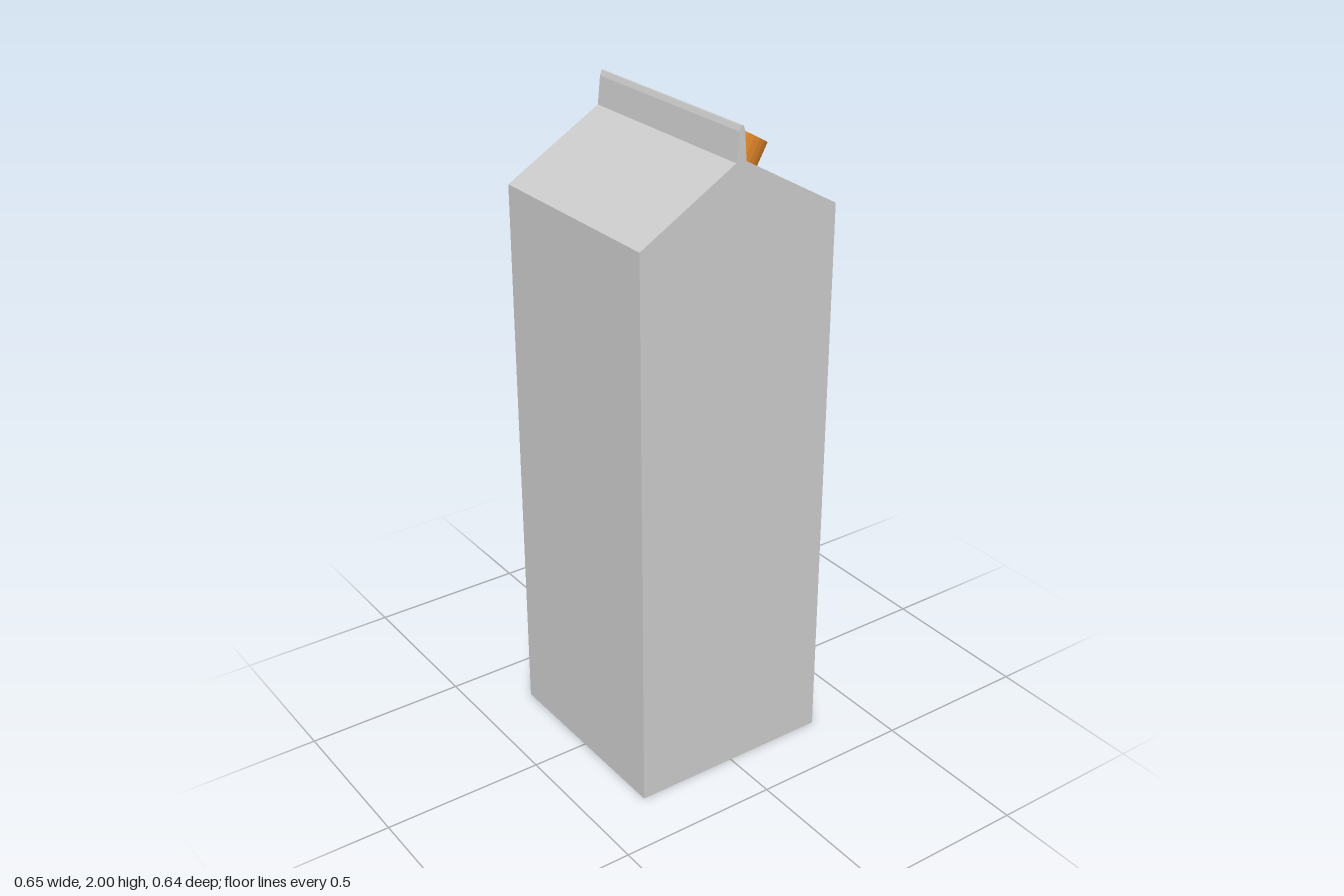
import * as THREE from 'three';

const HALF = 0.322, EAVE = 1.727, RIDGE = 1.903;
const FIN_L = -0.02, FIN_R = 0.013;
const SLOPE = Math.atan2(RIDGE - EAVE, HALF - FIN_R);

const paper = new THREE.MeshStandardMaterial({ color: 0xcccccc, flatShading: true });
const orange = new THREE.MeshStandardMaterial({ color: 0xe68a2c, flatShading: true });

// Extrudes an x-y outline along z, centred on z = 0
function prism(name, points, depth, material) {
  const shape = new THREE.Shape(points.map(([x, y]) => new THREE.Vector2(x, y)));
  const geometry = new THREE.ExtrudeGeometry(shape, { depth, bevelEnabled: false });
  geometry.translate(0, 0, -depth / 2);
  const mesh = new THREE.Mesh(geometry, material);
  mesh.name = name;
  return mesh;
}

export function createModel() {
  const carton = new THREE.Group();
  carton.name = 'carton';

  // Square body with gable roof
  carton.add(prism('body', [
    [-HALF, 0], [HALF, 0], [HALF, EAVE], [FIN_R, RIDGE], [FIN_L, RIDGE], [-HALF, EAVE],
  ], HALF * 2, paper));

  // Folded seal along the ridge, slightly tapered with a narrow top
  carton.add(prism('topSeal', [
    [FIN_L, RIDGE], [FIN_R, RIDGE], [0.007, 1.985], [0.001, 2], [-0.005, 2], [-0.011, 1.985],
  ], HALF * 2, paper));

  // Thin coloured band over the right roof panel and down the side
  const t = 0.0015;
  carton.add(prism('band', [
    [FIN_R, RIDGE], [HALF, EAVE], [HALF, 1.55], [HALF + t, 1.55],
    [HALF + t, EAVE + t * 0.6], [FIN_R, RIDGE + t * 1.15],
  ].reverse(), 0.216, orange));

  // Screw cap standing square on the sloping panel
  const height = 0.076;
  const cap = new THREE.Mesh(new THREE.CylinderGeometry(0.115, 0.115, height, 32), orange);
  cap.name = 'cap';
  cap.rotation.z = -SLOPE;
  cap.position.set(
    0.1655 + Math.sin(SLOPE) * height / 2,
    1.817 + Math.cos(SLOPE) * height / 2,
    0,
  );
  carton.add(cap);

  return carton;
}
